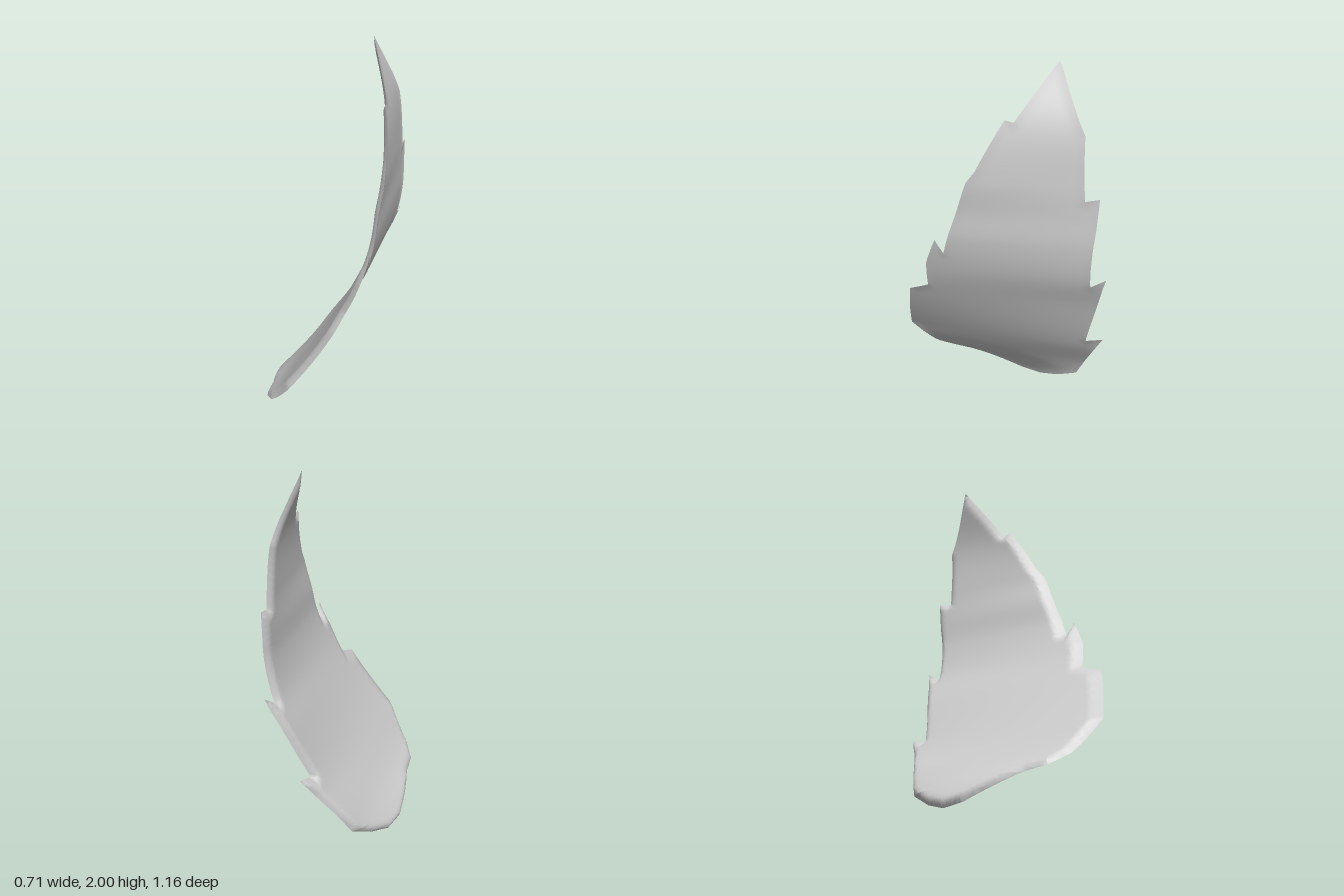
import * as THREE from 'three';
import { mergeVertices } from 'three/addons/utils/BufferGeometryUtils.js';

// Side outline as [z, y]: tip, jagged back edge, rounded base, jagged front edge
const OUTLINE = [
  [-0.285, 2], [-0.46, 1.67], [-0.48, 1.35], [-0.545, 1.365], [-0.535, 1.19],
  [-0.5, 0.87], [-0.58, 0.925], [-0.405, 0.45], [-0.5, 0.48], [-0.35, 0.25], [-0.265, 0.11],
  [-0.13, 0.04], [0, 0], [0.12, 0.01], [0.37, 0.125], [0.47, 0.145], [0.53, 0.2],
  [0.58, 0.39], [0.43, 0.73], [0.32, 0.775], [0.28, 0.94], [0.21, 1.09], [0.18, 1.01],
  [0.04, 1.42], [0, 1.48], [-0.11, 1.73], [-0.15, 1.72],
].map(([z, y]) => new THREE.Vector2(-z, y));

// Curved surface: by height, x at z = 0 and the slope of x along z
const bend = new THREE.CubicInterpolant(
  [0, 0.1, 0.2, 0.4, 0.73, 0.9, 1.09, 1.25, 1.42, 1.7, 2],
  [-0.345, 0.08, -0.275, 0.17, -0.195, 0.28, -0.05, 0.32, 0.132, 0.4, 0.212, 0.41,
    0.262, 0.44, 0.272, 0.46, 0.288, 0.5, 0.255, 0.5, 0.128, 0.5], 2);

function surfaceX(y, z) {
  const [x0, slope] = bend.evaluate(y);
  return x0 + slope * z;
}

// Distance to the outline, used to thin the plate to a sharp rim
function rimDistance(p) {
  let best = Infinity;
  OUTLINE.forEach((a, i) => {
    const ab = OUTLINE[(i + 1) % OUTLINE.length].clone().sub(a);
    const t = THREE.MathUtils.clamp(p.clone().sub(a).dot(ab) / ab.lengthSq(), 0, 1);
    best = Math.min(best, p.distanceTo(ab.multiplyScalar(t).add(a)));
  });
  return best;
}

// Halve the longest side of each triangle until all sides are short
function split(tri, out) {
  const lengths = tri.map((p, i) => p.distanceTo(tri[(i + 1) % 3]));
  const longest = Math.max(...lengths);
  if (longest < 0.03) return out.push(...tri);
  const i = lengths.indexOf(longest);
  const a = tri[i], b = tri[(i + 1) % 3], c = tri[(i + 2) % 3];
  const m = a.clone().add(b).multiplyScalar(0.5);
  split([a, m, c], out);
  split([m, b, c], out);
}

// One face of the plate, offset in x by depth(y) away from the rim
function faceGeometry(points, order, depth) {
  const pos = [];
  for (let i = 0; i < points.length; i += 3) {
    for (const k of order) {
      const p = points[i + k];
      const taper = THREE.MathUtils.smoothstep(rimDistance(p), -0.045, 0.045) * 2 - 1;
      pos.push(surfaceX(p.y, -p.x) + taper * depth(p.y), p.y, -p.x);
    }
  }
  const geo = new THREE.BufferGeometry();
  geo.setAttribute('position', new THREE.Float32BufferAttribute(pos, 3));
  const merged = mergeVertices(geo, 1e-5);
  merged.computeVertexNormals();
  return merged;
}

export function createModel() {
  const group = new THREE.Group();
  group.name = 'curvedLeafPlate';
  const material = new THREE.MeshStandardMaterial({ color: 0xcccccc, side: THREE.DoubleSide });

  const flat = new THREE.ShapeGeometry(new THREE.Shape(OUTLINE)).toNonIndexed().attributes.position;
  const corners = [];
  for (let i = 0; i < flat.count; i++) corners.push(new THREE.Vector2(flat.getX(i), flat.getY(i)));
  const points = [];
  for (let i = 0; i < corners.length; i += 3) split(corners.slice(i, i + 3), points);

  // Both faces sink towards the hollow side; the gap is thickest near the base
  const faces = {
    convexFace: faceGeometry(points, [0, 1, 2], () => -0.005),
    hollowFace: faceGeometry(points, [0, 2, 1], (y) => -0.042 + 0.009 * y),
  };
  for (const [name, geometry] of Object.entries(faces)) {
    const mesh = new THREE.Mesh(geometry, material);
    mesh.name = name;
    group.add(mesh);
  }
  return group;
}
